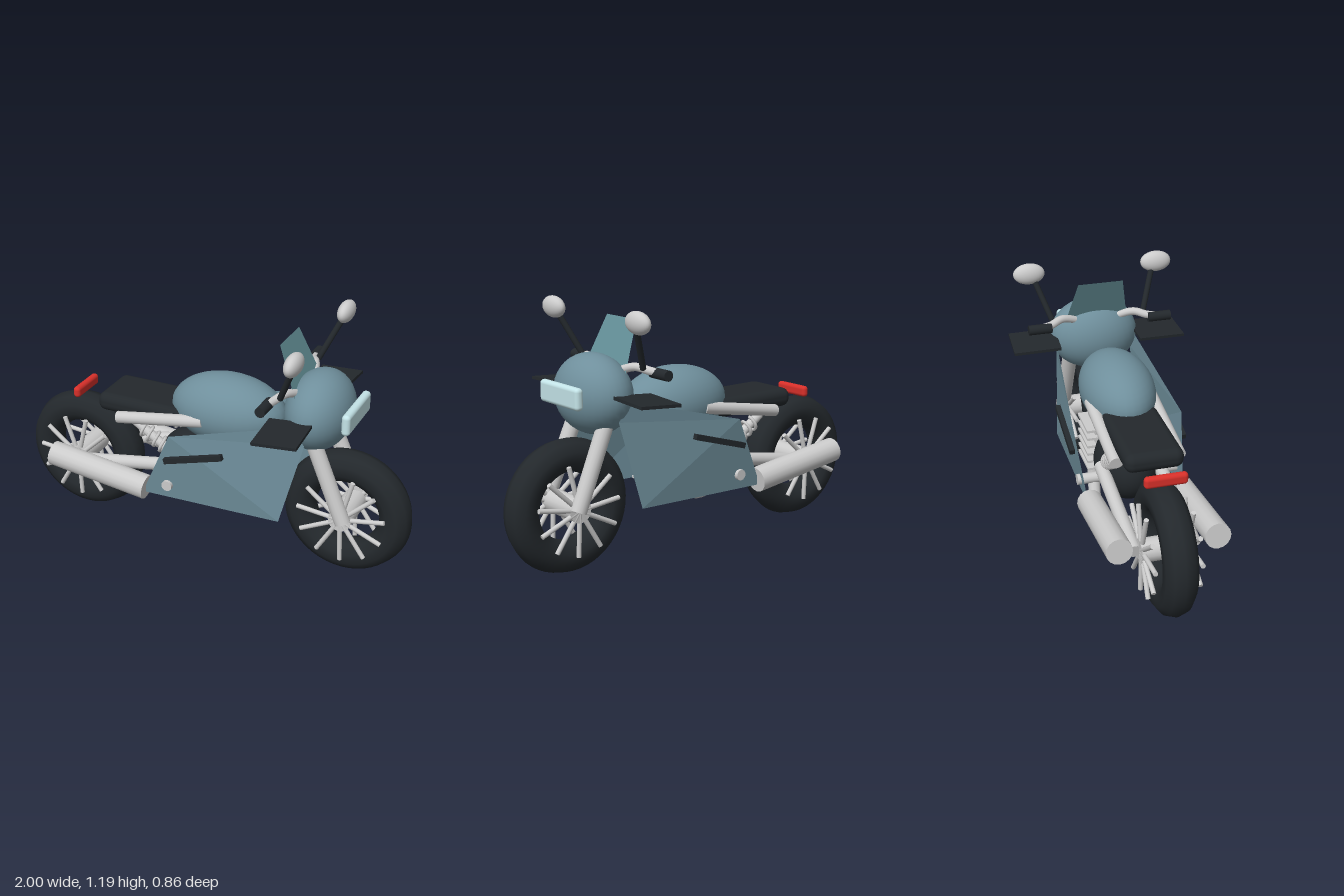
import * as THREE from 'three';
import { RoundedBoxGeometry } from 'three/addons/geometries/RoundedBoxGeometry.js';

const mat = (color, extra = {}) => new THREE.MeshStandardMaterial({ color, ...extra });

export function createModel() {
  const root = new THREE.Group();
  const metal = mat(0xcccccc);
  const black = mat(0x23282c);
  const paint = mat(0x6f8f9c);
  const panelPaint = mat(0x6f8f9c, { flatShading: true, side: THREE.DoubleSide });
  const glass = mat(0x659199, { side: THREE.DoubleSide });
  const lampGlass = mat(0xc4e4e8);
  const red = mat(0xd8302a);
  const V = (a) => new THREE.Vector3(...a);

  function add(name, geo, material, pos = [0, 0, 0], parent = root) {
    const m = new THREE.Mesh(geo, material);
    m.name = name;
    m.position.set(...pos);
    parent.add(m);
    return m;
  }
  // Straight round bar between two points
  function bar(name, a, b, r, material = metal, parent = root) {
    const p = V(a), d = V(b).sub(p);
    const m = add(name, new THREE.CylinderGeometry(r, r, d.length(), 16), material, [0, 0, 0], parent);
    m.position.copy(p).addScaledVector(d, 0.5);
    m.quaternion.setFromUnitVectors(new THREE.Vector3(0, 1, 0), d.normalize());
    return m;
  }
  function ellipsoid(name, pos, radii, material) {
    const m = add(name, new THREE.SphereGeometry(1, 32, 20), material, pos);
    m.scale.set(...radii);
    return m;
  }
  function tube(name, points, r, material = metal) {
    const curve = new THREE.CatmullRomCurve3(points.map(V));
    return add(name, new THREE.TubeGeometry(curve, 24, r, 12), material);
  }
  // Surface fanned out from the first corner
  function sheet(name, corners, material) {
    const geo = new THREE.BufferGeometry();
    geo.setAttribute('position', new THREE.Float32BufferAttribute(corners.flat(), 3));
    const index = [];
    for (let i = 1; i < corners.length - 1; i++) index.push(0, i, i + 1);
    geo.setIndex(index);
    geo.computeVertexNormals();
    return add(name, geo, material);
  }

  // Wheels: tyre, hub and a ring of spokes on each side
  for (const [name, x] of [['frontWheel', 0.69], ['rearWheel', -0.69]]) {
    const wheel = new THREE.Group();
    wheel.name = name;
    wheel.position.set(x, 0.313, 0);
    root.add(wheel);
    add('tyre', new THREE.TorusGeometry(0.231, 0.077, 10, 48), black, [0, 0, 0], wheel);
    bar('hub', [0, 0, -0.115], [0, 0, 0.115], 0.055, metal, wheel);
    for (const z of [-0.105, 0.105]) {
      for (let i = 0; i < 11; i++) {
        const a = THREE.MathUtils.degToRad(76) + (i * Math.PI * 2) / 11;
        bar('spoke', [0, 0, z], [0.212 * Math.cos(a), 0.212 * Math.sin(a), z], 0.011, metal, wheel);
      }
    }
  }

  // Body shells on the centre line
  ellipsoid('fuelTank', [0.085, 0.7, 0], [0.285, 0.172, 0.175], paint);
  ellipsoid('headFairing', [0.535, 0.8, 0], [0.153, 0.182, 0.22], paint);
  ellipsoid('engine', [-0.07, 0.39, 0], [0.2, 0.17, 0.15], black);
  add('seat', new RoundedBoxGeometry(0.46, 0.092, 0.27, 4, 0.04), black, [-0.325, 0.655, 0]);
  add('headlight', new RoundedBoxGeometry(0.04, 0.1, 0.294, 4, 0.018), lampGlass, [0.702, 0.815, 0]);
  add('tailLight', new RoundedBoxGeometry(0.036, 0.055, 0.195, 4, 0.017), red, [-0.692, 0.655, 0]);
  sheet('windscreen', [[0.47, 0.9, -0.155], [0.47, 0.9, 0.155], [0.375, 1.125, 0.11], [0.375, 1.125, -0.11]], glass);

  // Cooling fins of the cylinder block
  add('cylinderBlock', new THREE.BoxGeometry(0.14, 0.26, 0.24), metal, [0.11, 0.43, 0]);
  for (let i = 0; i < 6; i++) {
    add('coolingFin', new THREE.BoxGeometry(0.19, 0.012, 0.33), metal, [0.11, 0.32 + i * 0.041, 0]);
  }
  bar('pivotShaft', [-0.122, 0.36, -0.252], [-0.122, 0.36, 0.252], 0.026);

  // Mirrored side parts
  for (const s of [-1, 1]) {
    const side = (p) => [p[0], p[1], p[2] * s];

    // Fork, frame and suspension
    bar('forkLeg', side([0.52, 0.76, 0.115]), side([0.71, 0.315, 0.125]), 0.037);
    bar('seatRail', side([-0.43, 0.608, 0.147]), side([0.02, 0.685, 0.147]), 0.029);
    bar('swingArm', side([-0.69, 0.313, 0.135]), side([-0.12, 0.415, 0.135]), 0.032);
    const top = [-0.36, 0.59, 0.11], foot = [-0.13, 0.44, 0.11];
    bar('shock', side(top), side(foot), 0.022);
    const spring = [];
    for (let i = 0; i <= 40; i++) {
      const t = 0.2 + (0.7 * i) / 40, a = (i / 40) * Math.PI * 10, r = 0.034;
      spring.push(side([
        top[0] + (foot[0] - top[0]) * t + 0.55 * r * Math.cos(a),
        top[1] + (foot[1] - top[1]) * t + 0.84 * r * Math.cos(a),
        top[2] + r * Math.sin(a),
      ]));
    }
    const coil = new THREE.CatmullRomCurve3(spring.map(V));
    add('shockSpring', new THREE.TubeGeometry(coil, 120, 0.008, 6), metal);

    // Exhaust
    bar('silencer', side([-0.757, 0.372, 0.222]), side([-0.243, 0.308, 0.222]), 0.06);
    tube('exhaustPipe', [[0.2, 0.5, 0.1], [0.07, 0.285, 0.125], [-0.08, 0.315, 0.16], [-0.26, 0.315, 0.2]].map(side), 0.029);

    // Folded side panel with its trim strip
    sheet('sidePanel', [[-0.1, 0.635, 0.262], [-0.26, 0.285, 0.228], [0.435, 0.3, 0.222],
      [0.535, 0.7, 0.19], [0.48, 0.785, 0.2]].map(side), panelPaint);
    const strip = add('panelStrip', new THREE.BoxGeometry(0.305, 0.026, 0.024), black, [0.027, 0.552, 0.27 * s]);
    strip.rotation.z = 0.29;

    // Winglet
    const wing = add('winglet', new THREE.BoxGeometry(0.205, 0.014, 0.23), black, [0.478, 0.807, 0.31 * s]);
    wing.rotation.set(0.03 * s, 0.05 * s, 0.07);

    // Handlebar, grip and mirror
    tube('handlebar', [[0.39, 0.915, 0.29], [0.405, 0.92, 0.24], [0.435, 0.932, 0.18], [0.47, 0.9, 0.08]].map(side), 0.019);
    bar('grip', side([0.39, 0.912, 0.242]), side([0.39, 0.912, 0.355]), 0.024, black);
    bar('mirrorStalk', side([0.43, 0.93, 0.228]), side([0.515, 1.12, 0.296]), 0.014, black);
    const mirror = ellipsoid('mirror', side([0.523, 1.148, 0.318]), [0.037, 0.051, 0.077], metal);
    mirror.rotation.z = -0.1;
  }
  return root;
}
